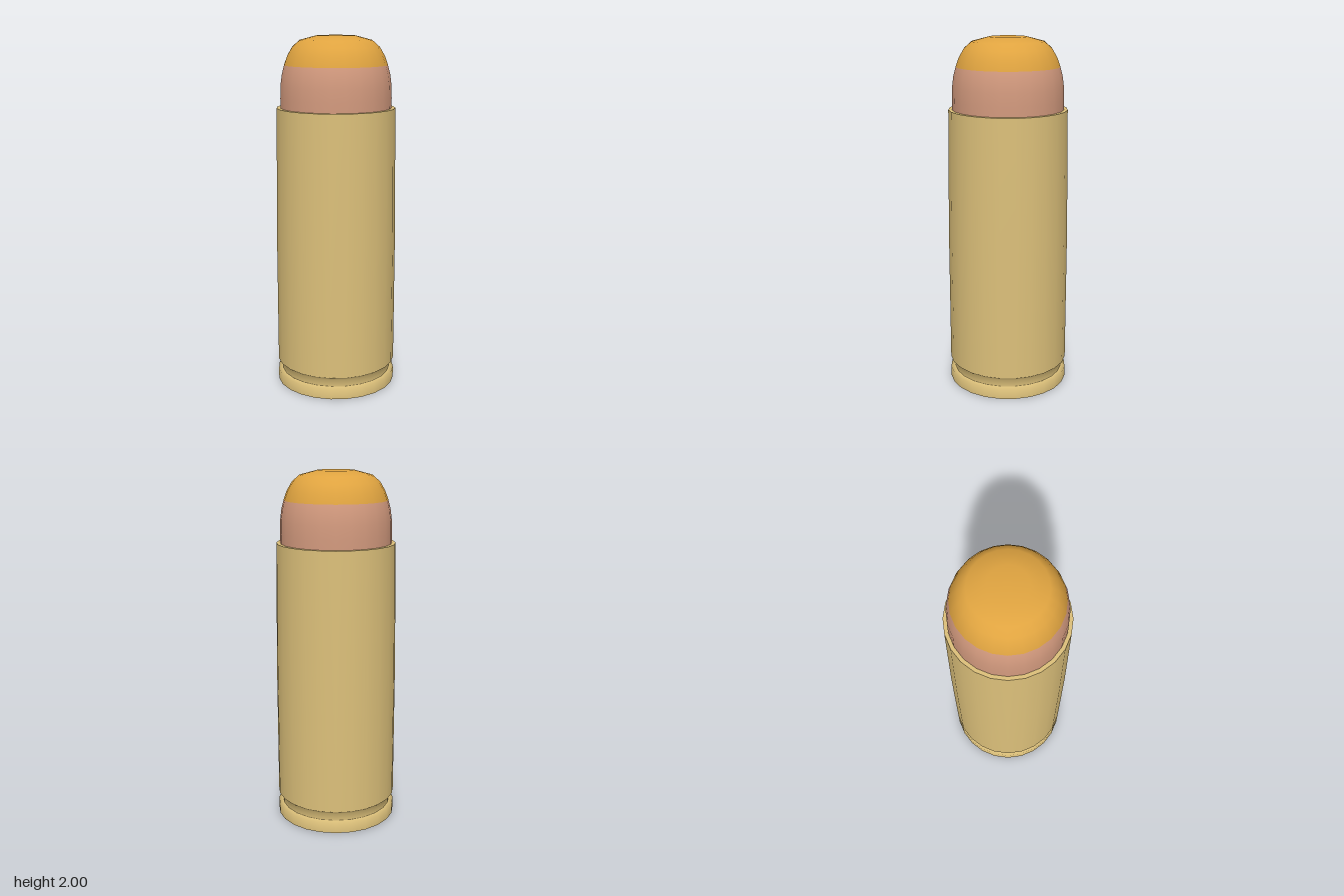
import * as THREE from 'three';

const SIDES = 24;

const lathe = (points) =>
  new THREE.LatheGeometry(points.map(([r, y]) => new THREE.Vector2(r, y)), SIDES);

export function createModel() {
  const material = (name, color) => {
    const m = new THREE.MeshStandardMaterial({ color });
    m.name = name;
    return m;
  };
  const brass = material('brass', 0xdcc07a);
  const copper = material('copper', 0xd39a7e);
  const orange = material('orange tip', 0xe0a440);

  const model = new THREE.Group();
  model.name = 'cartridge';
  const add = (name, geometry, mat) => {
    const mesh = new THREE.Mesh(geometry, mat);
    mesh.name = name;
    model.add(mesh);
  };

  // Flat base and extractor rim
  add('base', lathe([[0, 0], [0.343, 0]]), brass);
  add('rim', lathe([[0.343, 0], [0.343, 0.06], [0.318, 0.066]]), brass);

  // Extractor groove and slightly tapered case wall
  add('groove', lathe([[0.318, 0.064], [0.318, 0.108], [0.343, 0.128]]), brass);
  add('caseWall', lathe([[0.343, 0.128], [0.342, 0.9], [0.332, 1.606]]), brass);
  add('caseMouth', lathe([[0.332, 1.606], [0.305, 1.606]]), brass);

  // Rounded bullet: copper jacket below, orange tip above, one smooth surface
  const profile = [
    [0.311, 1.6], [0.311, 1.66], [0.309, 1.73], [0.301, 1.79], [0.288, 1.84],
    [0.27, 1.89], [0.242, 1.938], [0.2, 1.975], [0.105, 2], [0, 2],
  ];
  const bullet = lathe(profile);
  const jacketBands = 4;
  const bands = profile.length - 1;
  for (let i = 0; i < SIDES; i++) {
    const start = i * bands * 6;
    bullet.addGroup(start, jacketBands * 6, 0);
    bullet.addGroup(start + jacketBands * 6, (bands - jacketBands) * 6, 1);
  }
  add('bullet', bullet, [copper, orange]);

  return model;
}
